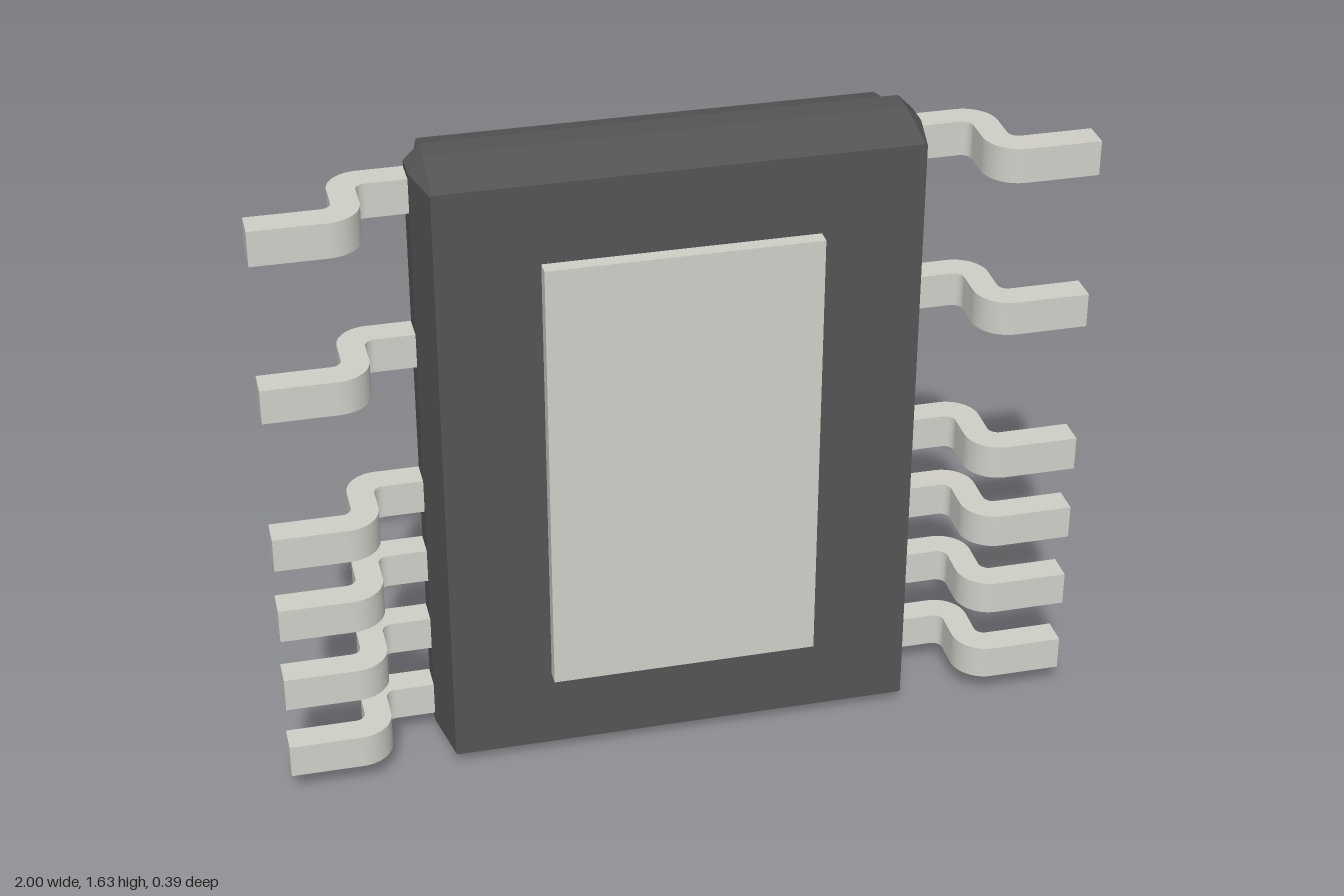
import * as THREE from 'three';

const dark = new THREE.MeshStandardMaterial({ color: 0x555555, flatShading: true });
const metal = new THREE.MeshStandardMaterial({ color: 0xd0cfc8 });
const recess = new THREE.MeshStandardMaterial({ color: 0xc4c1b8, side: THREE.DoubleSide });

const MID_Y = 0.815;
const DOT = { x: 0.28, y: 1.33, r: 0.1, depth: 0.03 };

function add(parent, name, geometry, material) {
  const mesh = new THREE.Mesh(geometry, material);
  mesh.name = name;
  parent.add(mesh);
  return mesh;
}

// Rectangle with cut corners, counter-clockwise: half width, half height, corner cut
function outline([hx, hy, c]) {
  return [
    [hx, -hy + c], [hx, hy - c], [hx - c, hy], [-hx + c, hy],
    [-hx, hy - c], [-hx, -hy + c], [-hx + c, -hy], [hx - c, -hy],
  ].map(([x, y]) => new THREE.Vector2(x, y + MID_Y));
}

// Side walls through sections [hx, hy, cut, z], ordered front to back
function loft(sections) {
  const pos = [];
  for (let s = 0; s < sections.length - 1; s++) {
    const f = outline(sections[s]), b = outline(sections[s + 1]);
    const zf = sections[s][3], zb = sections[s + 1][3];
    for (let i = 0; i < 8; i++) {
      const j = (i + 1) % 8;
      pos.push(f[i].x, f[i].y, zf, b[i].x, b[i].y, zb, b[j].x, b[j].y, zb);
      pos.push(f[i].x, f[i].y, zf, b[j].x, b[j].y, zb, f[j].x, f[j].y, zf);
    }
  }
  const g = new THREE.BufferGeometry();
  g.setAttribute('position', new THREE.Float32BufferAttribute(pos, 3));
  g.computeVertexNormals();
  return g;
}

// Flat end face; a back face is mirrored so that it looks towards -z
function cap(section, back, hole) {
  const mirror = back ? -1 : 1;
  const shape = new THREE.Shape(outline(section));
  if (hole) {
    shape.holes.push(new THREE.Path().absarc(mirror * hole.x, hole.y, hole.r, 0, Math.PI * 2, true));
  }
  const g = new THREE.ShapeGeometry(shape, 24);
  if (back) g.rotateY(Math.PI);
  return g.translate(0, 0, section[3]);
}

// Gull-wing lead profile in x and z, swept along y
function leadGeometry(width) {
  const s = new THREE.Shape();
  const H = Math.PI / 2;
  s.moveTo(0.55, -0.06);
  s.lineTo(0.72, -0.06);
  s.absarc(0.72, 0.02, 0.08, -H, 0, false);
  s.absarc(0.825, 0.09, 0.025, Math.PI, H, true);
  s.lineTo(1, 0.115);
  s.lineTo(1, 0.187);
  s.lineTo(0.82, 0.187);
  s.absarc(0.82, 0.102, 0.085, H, Math.PI, false);
  s.absarc(0.71, 0.035, 0.025, 0, -H, true);
  s.lineTo(0.55, 0.01);
  const g = new THREE.ExtrudeGeometry(s, { depth: width, bevelEnabled: false, curveSegments: 10 });
  return g.translate(0, 0, -width / 2).rotateX(Math.PI / 2);
}

export function createModel() {
  const model = new THREE.Group();
  model.name = 'chipPackage';

  // Moulded body: front half is slightly larger than the back half
  const body = new THREE.Group();
  body.name = 'body';
  model.add(body);
  const front = [[0.583, 0.785, 0.004, 0.155], [0.612, 0.815, 0.038, 0.012], [0.612, 0.815, 0.038, -0.057]];
  const back = [[0.592, 0.795, 0.03, -0.057], [0.562, 0.763, 0.004, -0.195]];
  add(body, 'frontHalfSides', loft(front), dark);
  add(body, 'frontFace', cap(front[0], false), dark);
  add(body, 'partingStep', cap(front[2], true), dark);
  add(body, 'backHalfSides', loft(back), dark);
  add(body, 'backFace', cap(back[1], true, DOT), dark);

  // Round orientation mark sunk into the back face
  const mark = new THREE.Group();
  mark.name = 'orientationMark';
  mark.position.set(DOT.x, DOT.y, -0.195);
  model.add(mark);
  const wall = new THREE.CylinderGeometry(DOT.r, DOT.r, DOT.depth, 48, 1, true);
  add(mark, 'markWall', wall.rotateX(Math.PI / 2).translate(0, 0, DOT.depth / 2), recess);
  const floor = new THREE.CircleGeometry(DOT.r, 48).rotateY(Math.PI);
  add(mark, 'markFloor', floor.translate(0, 0, DOT.depth), recess);

  // Exposed thermal pad on the front
  const pad = add(model, 'thermalPad', new THREE.BoxGeometry(0.668, 1.158, 0.06), metal);
  pad.position.set(0, 0.818, 0.162);

  // Leads on both sides
  const lead = leadGeometry(0.088);
  for (const y of [0.105, 0.308, 0.512, 0.716, 1.124, 1.532]) {
    add(model, 'leftLead', lead, metal).position.y = y;
    const right = add(model, 'rightLead', lead, metal);
    right.position.y = y;
    right.rotation.z = Math.PI;
  }
  return model;
}
